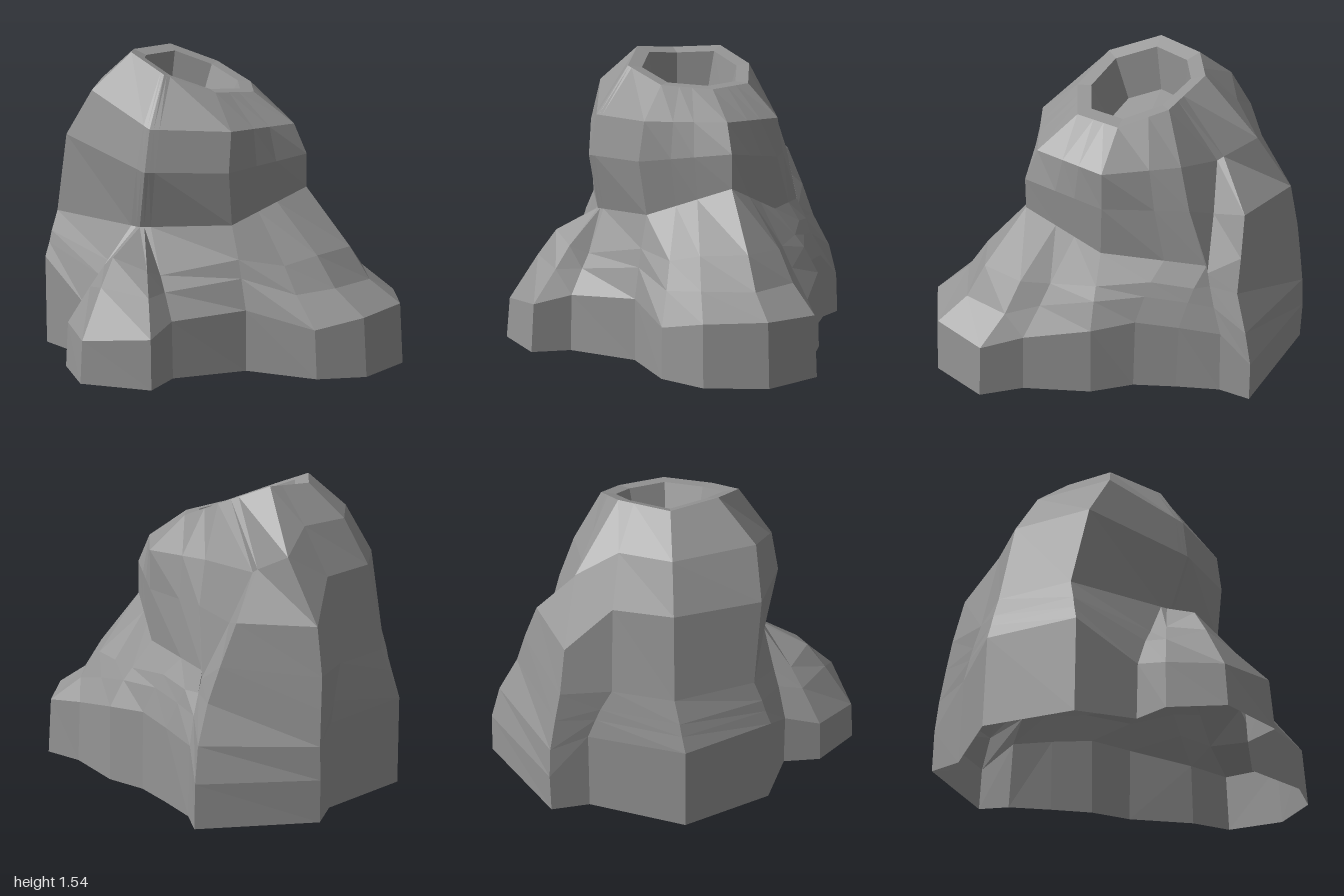
import * as THREE from 'three';

const material = new THREE.MeshStandardMaterial({ color: 0x949494, flatShading: true, side: THREE.DoubleSide });
const CENTRE = new THREE.Vector3(-0.17, 1.445, -0.03);

// Lopsided octagons of the body, top to bottom. x and y run from the +x corner
// round to the -x corner; front and back give z of the three corners between.
const rings = [
  { x: [0.17, 0.06, -0.17, -0.41, -0.51], y: [1.34, 1.36, 1.45, 1.54, 1.53], front: [0.21, 0.32, 0.20], back: [-0.26, -0.35, -0.27] },
  { x: [0.39, 0.20, -0.17, -0.55, -0.70], y: [1.19, 1.19, 1.20, 1.36, 1.37], front: [0.34, 0.49, 0.37], back: [-0.37, -0.49, -0.38] },
  { x: [0.46, 0.20, -0.18, -0.69, -0.83], y: [1.04, 0.99, 0.99, 1.13, 1.15], front: [0.37, 0.53, 0.39], back: [-0.37, -0.57, -0.43] },
  { x: [0.46, 0.20, -0.24, -0.77, -0.91], y: [0.87, 0.72, 0.70, 0.72, 0.73], front: [0.33, 0.47, 0.36], back: [-0.36, -0.66, -0.45] },
];

// Columns around the foot: octagon position (0 = +x, 2 = front), foot x, foot z,
// heights of hip, knee and shoulder
const columns = [
  [0, 0.99, -0.03, 0.58, 0.42, 0.31],
  [0.4, 0.89, 0.26, 0.57, 0.42, 0.30],
  [0.65, 0.68, 0.40, 0.53, 0.40, 0.25],
  [1, 0.32, 0.43, 0.56, 0.47, 0.32],
  [1.88, 0.04, 0.69, 0.49, 0.42, 0.30],
  [1.95, 0.02, 0.89, 0.53, 0.42, 0.26],
  [2, -0.33, 0.95, 0.59, 0.46, 0.23],
  [2.04, -0.52, 0.75, 0.52, 0.42, 0.25],
  [2.1, -0.53, 0.56, 0.52, 0.45, 0.30],
  [3, -0.80, 0.45, 0.62, 0.56, 0.49],
  [4, -1.00, 0.02, 0.62, 0.56, 0.48],
  [4.7, -0.82, -0.45, 0.62, 0.56, 0.46],
  [5, -0.85, -0.64],
  [5.6, -0.35, -0.96],
  [5.75, -0.25, -0.83],
  [6, -0.06, -0.71, 0.60, 0.53, 0.40],
  [6.4, 0.13, -0.60, 0.62, 0.55, 0.42],
  [7, 0.35, -0.55, 0.59, 0.53, 0.40],
  [7.35, 0.65, -0.37, 0.57, 0.47, 0.33],
  [7.6, 0.87, -0.32, 0.58, 0.43, 0.30],
];

// The back root climbs the body: its two ridges and the gully beside it, from
// below the rim to above the foot, keyed by octagon position
const backRoot = {
  5: [[-0.60, 1.25, -0.48], [-0.78, 0.95, -0.54], [-0.82, 0.72, -0.57], [-0.83, 0.57, -0.60], [-0.84, 0.40, -0.63], [-0.85, 0.24, -0.64]],
  5.6: [[-0.43, 1.17, -0.45], [-0.43, 0.96, -0.68], [-0.38, 0.76, -0.75], [-0.34, 0.59, -0.80], [-0.34, 0.41, -0.90], [-0.35, 0.24, -0.95]],
  5.75: [[-0.40, 1.15, -0.44], [-0.33, 0.92, -0.55], [-0.24, 0.66, -0.67], [-0.24, 0.60, -0.70], [-0.24, 0.50, -0.75], [-0.25, 0.37, -0.81]],
};

// Corner k of an octagon
function corner({ x, y, front, back }, k) {
  const fold = k % 8 > 4 ? 8 - k % 8 : k % 8;
  const side = k % 8 > 4 ? back : front;
  return new THREE.Vector3(x[fold], y[fold], side[fold - 1] ?? CENTRE.z);
}

// Point on the octagon's edge at fractional position u
function onRing(ring, u) {
  const k = Math.floor(u);
  return corner(ring, k).lerp(corner(ring, k + 1), u - k);
}

// One column of the mound, from rim to foot
function columnPoints([u, x, z, ...heights]) {
  const foot = new THREE.Vector3(x, 0.016 - 0.016 * x, z);
  if (backRoot[u]) {
    return [onRing(rings[0], u), ...backRoot[u].map((p) => new THREE.Vector3(...p)), foot];
  }
  const body = rings.map((ring) => onRing(ring, u));
  const slope = [0.45, 0.65, 0.96].map((t, j) => body[3].clone().lerp(foot, t).setY(heights[j]));
  return [...body, ...slope, foot];
}

// Skin between closed loops listed from the inside or top outwards and down
function skin(name, levels) {
  const n = levels[0].length, index = [];
  for (let j = 0; j < levels.length - 1; j++) {
    for (let i = 0; i < n; i++) {
      const a = j * n + i, b = j * n + (i + 1) % n;
      index.push(a, b, a + n, b, b + n, a + n);
    }
  }
  const geometry = new THREE.BufferGeometry().setFromPoints(levels.flat());
  geometry.setIndex(index);
  geometry.computeVertexNormals();
  const mesh = new THREE.Mesh(geometry, material);
  mesh.name = name;
  return mesh;
}

export function createModel() {
  const group = new THREE.Group();
  group.name = 'rockVent';

  // Mound with three spreading roots, open underneath
  const sides = columns.map(columnPoints);
  group.add(skin('rockMound', sides[0].map((_, level) => sides.map((side) => side[level]))));

  // Crater: floor, wall and rim, sunk square to the tilted mouth
  const octagon = (scale, depth) => Array.from({ length: 8 }, (_, k) => {
    const p = corner(rings[0], k).sub(CENTRE).multiplyScalar(scale).add(CENTRE);
    p.x -= depth * 0.22;
    p.y -= depth;
    return p;
  });
  group.add(skin('crater', [octagon(0, 0.23), octagon(0.63, 0.23), octagon(0.78, 0.01), octagon(1, 0)]));

  return group;
}
